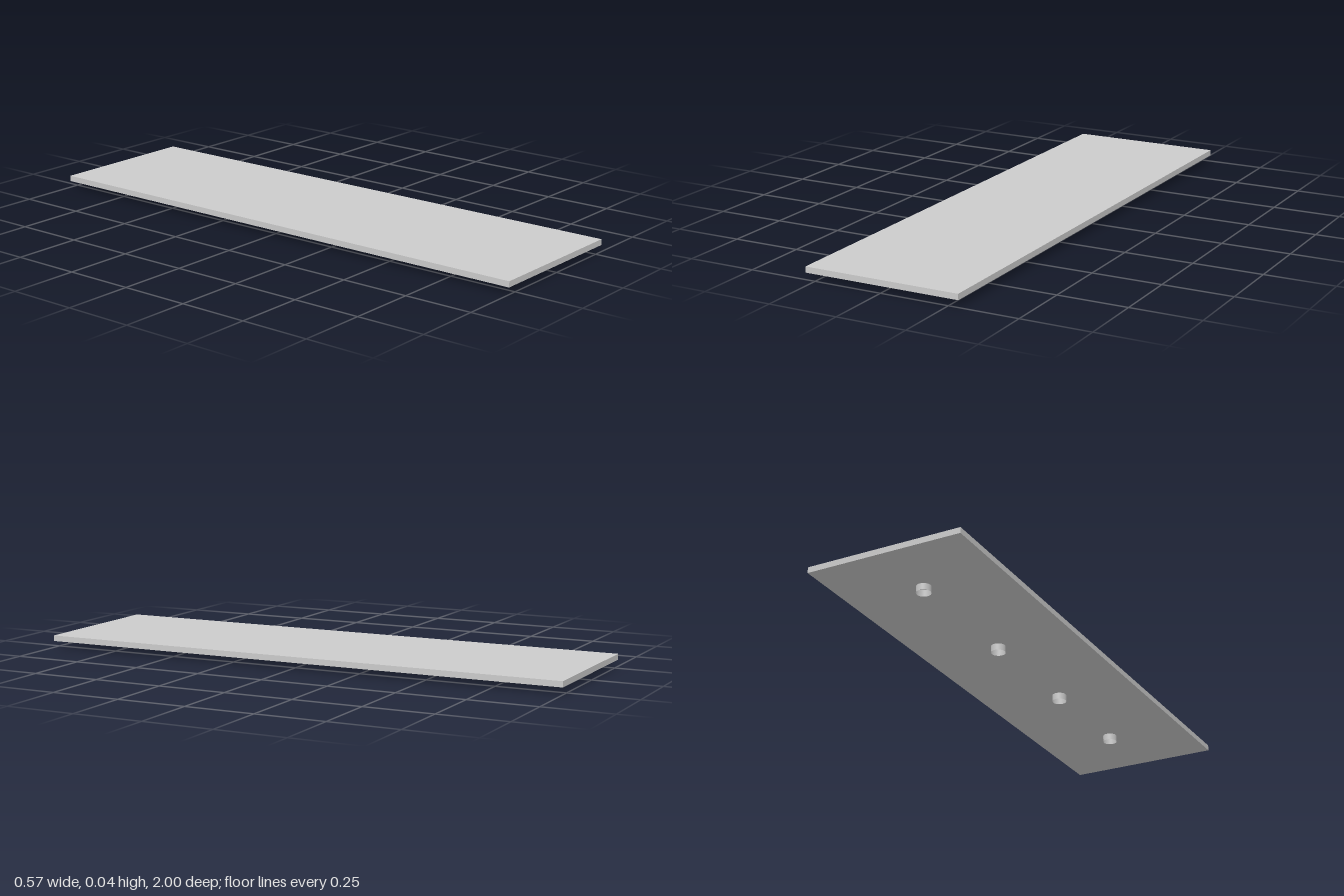
import * as THREE from 'three';

export function createModel() {
  const model = new THREE.Group();
  const material = new THREE.MeshStandardMaterial({ color: 0xcccccc });
  const thinMaterial = new THREE.MeshStandardMaterial({ color: 0xcccccc, side: THREE.DoubleSide });

  const bottom = 0.024, top = 0.045;

  // Flat rectangular board
  const board = new THREE.Mesh(new THREE.BoxGeometry(0.572, top - bottom, 2), material);
  board.name = 'board';
  board.position.y = (top + bottom) / 2;
  model.add(board);

  // Row of short open tubes under the centre line
  const tube = new THREE.CylinderGeometry(0.026, 0.026, bottom, 32, 1, true);
  [0.685, 0.247, -0.228, -0.742].forEach((z, i) => {
    const socket = new THREE.Mesh(tube, thinMaterial);
    socket.name = `socket${i + 1}`;
    socket.position.set(0, bottom / 2, z);
    model.add(socket);
  });

  return model;
}
